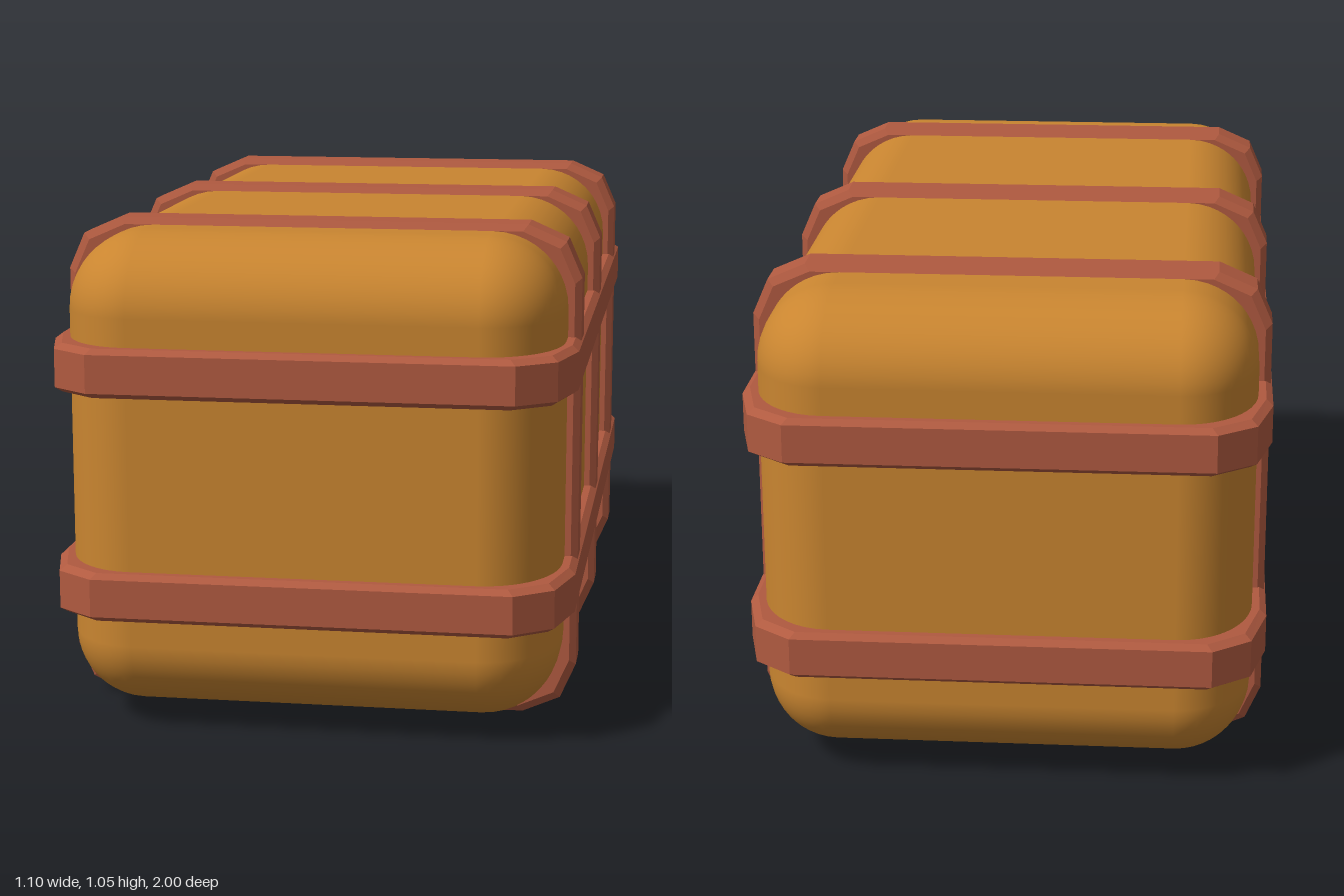
import * as THREE from 'three';
import { RoundedBoxGeometry } from 'three/addons/geometries/RoundedBoxGeometry.js';

const CENTER_Y = 0.527;

// Closed strap in the xy plane: a faceted loop with a chamfered cross-section swept round it.
function strapGeometry(halfU, halfV, cutV1, cutV2) {
  const quarter = [[halfU, halfV - cutV1], [halfU - 0.033, halfV - cutV2], [halfU - 0.113, halfV]];
  const flipped = quarter.slice().reverse();
  const loop = [
    ...quarter,
    ...flipped.map(([u, v]) => [-u, v]),
    ...quarter.map(([u, v]) => [-u, -v]),
    ...flipped.map(([u, v]) => [u, -v]),
  ];
  // [inset towards the middle, offset across the width]
  const section = [[0.06, -0.051], [0.014, -0.051], [0, -0.04], [0, 0.04], [0.014, 0.051], [0.06, 0.051]];
  const positions = [];
  const index = [];
  const n = section.length;
  loop.forEach(([u, v], i) => {
    const next = (i + 1) % loop.length;
    section.forEach(([inset, w], j) => {
      positions.push(u * (1 - inset / halfU), v * (1 - inset / halfV), w);
      const k = (j + 1) % n;
      const a = i * n + j, b = next * n + j, c = next * n + k, d = i * n + k;
      index.push(a, b, c, a, c, d);
    });
  });
  const geometry = new THREE.BufferGeometry();
  geometry.setAttribute('position', new THREE.Float32BufferAttribute(positions, 3));
  geometry.setIndex(index);
  geometry.computeVertexNormals();
  return geometry;
}

export function createModel() {
  const model = new THREE.Group();
  model.name = 'strappedBundle';
  const cloth = new THREE.MeshStandardMaterial({ color: 0xc98530 });
  const leather = new THREE.MeshStandardMaterial({ color: 0xb05a40, flatShading: true });

  function add(name, geometry, material, y, z) {
    const mesh = new THREE.Mesh(geometry, material);
    mesh.name = name;
    mesh.position.set(0, y, z);
    model.add(mesh);
  }

  // Soft body, its rounding stretched lengthwise
  const body = new RoundedBoxGeometry(1.04, 1.01, 1.54, 6, 0.16);
  body.scale(1, 1, 1.94 / 1.54);
  add('body', body, cloth, 0.535, 0);

  // Three straps around the cross-section
  const upright = strapGeometry(0.547, 0.527, 0.11, 0.035);
  [0.655, 0, -0.635].forEach((z, i) => add(`crossStrap${i + 1}`, upright, leather, CENTER_Y, z));

  // Two straps around the length
  const level = strapGeometry(0.55, 1, 0.19, 0.06);
  level.rotateX(Math.PI / 2);
  [0.3, 0.77].forEach((y, i) => add(`lengthStrap${i + 1}`, level, leather, y, 0));

  return model;
}
